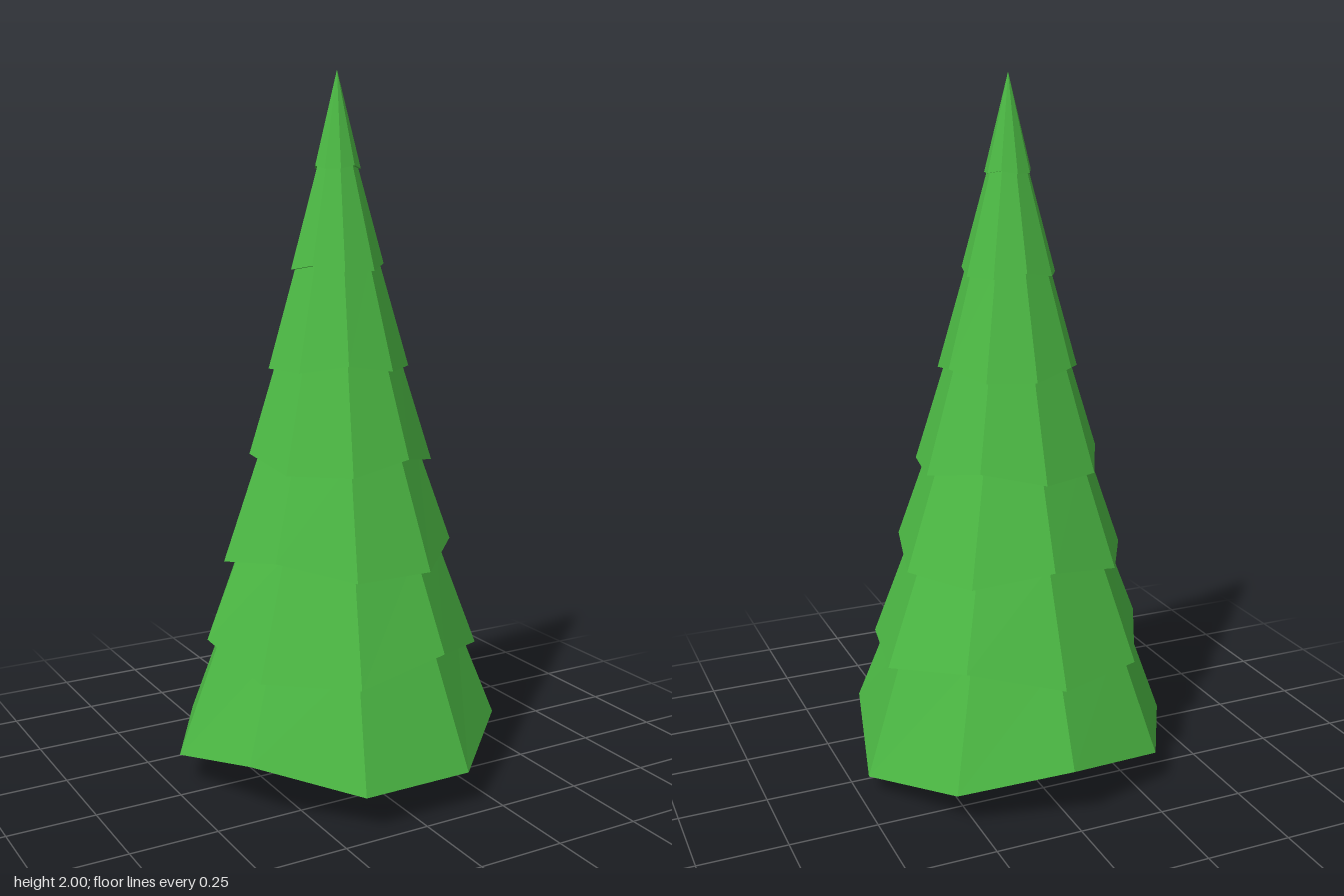
import * as THREE from 'three';

const SIDES = 9;

// One skirt of branches: a nine-sided ring whose every third corner is lifted, a smaller top ring, and an underside
function tierGeometry({ r, y, topR, topY, lift, shift, nudge = {} }) {
  const ring = (k) => {
    const i = k % SIDES, a = (i / SIDES) * Math.PI * 2;
    const up = (i % 3 === shift ? lift : 0) + (nudge[i] || 0);
    const low = r - Math.max(up, 0) * 0.3;
    return {
      bottom: [Math.sin(a) * low, y + up, -Math.cos(a) * low],
      top: [Math.sin(a) * topR, topY, -Math.cos(a) * topR],
    };
  };
  const pos = [];
  const under = [0, y + lift / 3, 0], over = [0, topY, 0];
  for (let k = 0; k < SIDES; k++) {
    const p = ring(k), q = ring(k + 1);
    pos.push(...p.bottom, ...p.top, ...q.bottom);
    if (topR > 0) {
      pos.push(...q.bottom, ...p.top, ...q.top);
      pos.push(...p.top, ...over, ...q.top);
    }
    pos.push(...p.bottom, ...q.bottom, ...under);
  }
  const g = new THREE.BufferGeometry();
  g.setAttribute('position', new THREE.Float32BufferAttribute(pos, 3));
  g.computeVertexNormals();
  return g;
}

export function createModel() {
  const tree = new THREE.Group();
  tree.name = 'pineTree';
  const green = new THREE.MeshStandardMaterial({ color: 0x4cb944, flatShading: true });
  const brown = new THREE.MeshStandardMaterial({ color: 0xc8913f, flatShading: true });

  // Trunk
  const trunk = new THREE.Mesh(new THREE.CylinderGeometry(0.095, 0.115, 0.3, 10), brown);
  trunk.name = 'trunk';
  trunk.position.set(0, 0.15, 0.02);
  tree.add(trunk);

  // Branch tiers from the ground up: each tucks under the one above
  const tiers = [
    { r: 0.477, y: 0.1, topR: 0.35, topY: 0.43, lift: 0.055, shift: 0, nudge: { 2: -0.05, 7: -0.015 } },
    { r: 0.405, y: 0.37, topR: 0.285, topY: 0.69, lift: 0.05, shift: 1 },
    { r: 0.338, y: 0.645, topR: 0.23, topY: 0.955, lift: 0.04, shift: 0 },
    { r: 0.27, y: 0.917, topR: 0.177, topY: 1.215, lift: 0.033, shift: 1 },
    { r: 0.202, y: 1.188, topR: 0.118, topY: 1.48, lift: 0.022, shift: 2 },
    { r: 0.135, y: 1.46, topR: 0.055, topY: 1.75, lift: 0.015, shift: 0 },
    { r: 0.066, y: 1.735, topR: 0, topY: 2, lift: 0.008, shift: 1 },
  ];
  tiers.forEach((t, i) => {
    const mesh = new THREE.Mesh(tierGeometry(t), green);
    mesh.name = `branchTier${i + 1}`;
    mesh.position.z = 0.008;
    tree.add(mesh);
  });
  return tree;
}
